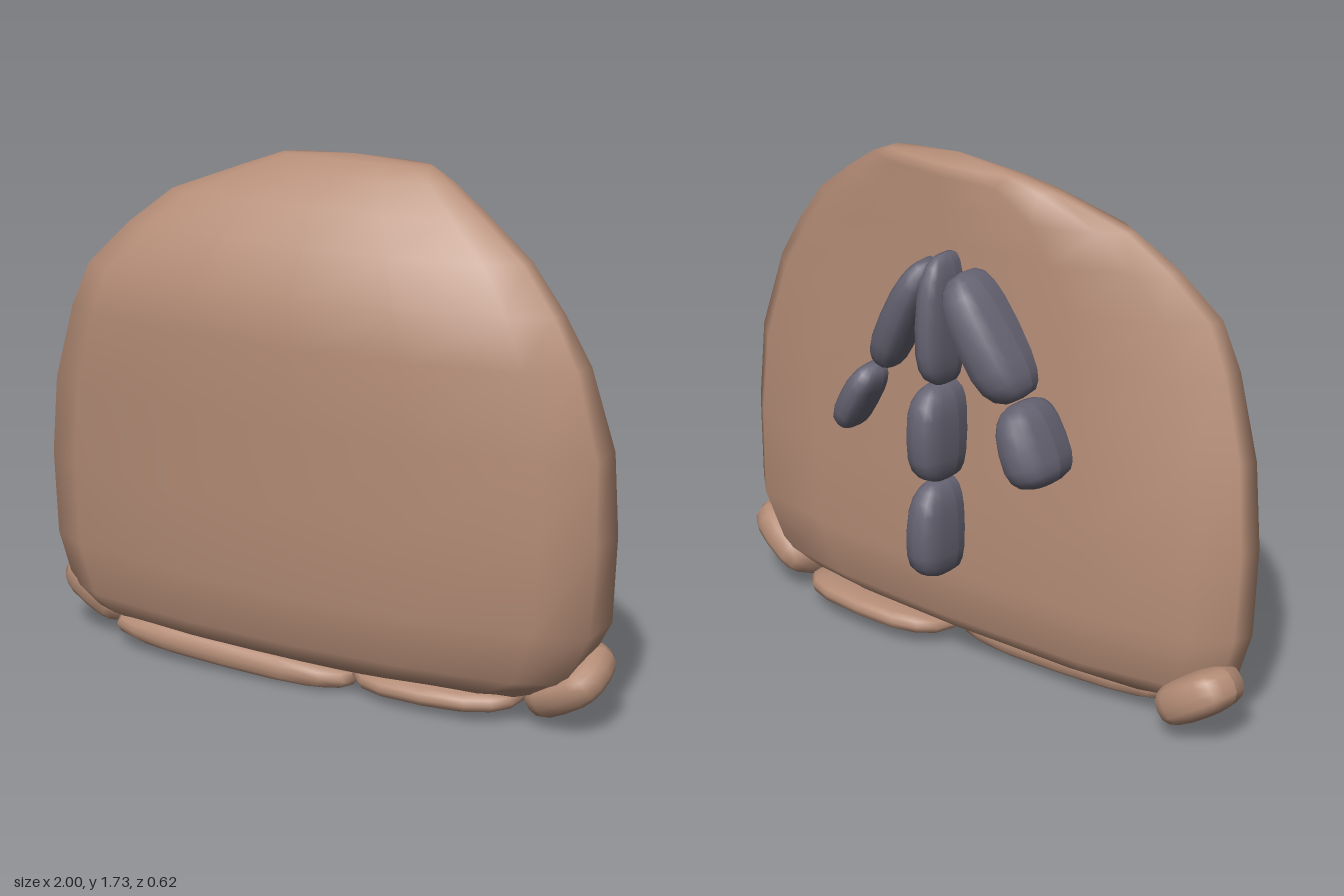
import * as THREE from 'three';

const clay = new THREE.MeshStandardMaterial({ color: 0xb48c76, roughness: 0.9 });
const slate = new THREE.MeshStandardMaterial({ color: 0x656372, roughness: 0.9 });

// Horizontal outline of the slab: across (-1..1), depth (0 back .. 1 front) low down and near the crown
const SECTION = [
  [-1, 0.58, 0.72], [-0.86, 0.76, 0.9], [-0.43, 0.93, 0.97], [0, 1, 1], [0.41, 0.98, 0.94],
  [0.83, 0.87, 0.77], [0.99, 0.7, 0.6], [1, 0.35, 0.44], [0.9, 0.14, 0.28], [0.6, 0.03, 0.1],
  [0.1, 0, 0], [-0.5, 0.06, 0.1], [-0.86, 0.23, 0.38], [-0.98, 0.42, 0.6],
];

// Slab levels: y, left x, right x, front z, back z, blend towards the crown outline
const LEVELS = [
  [0.08, -0.72, 0.68, 0.14, -0.02, 0],
  [0.12, -0.86, 0.77, 0.21, -0.08, 0],
  [0.18, -0.94, 0.89, 0.25, -0.13, 0],
  [0.36, -0.985, 0.98, 0.295, -0.15, 0],
  [0.65, -0.985, 0.995, 0.305, -0.14, 0.1],
  [0.92, -0.945, 0.985, 0.31, -0.13, 0.4],
  [1.18, -0.855, 0.91, 0.315, -0.125, 0.8],
  [1.33, -0.79, 0.82, 0.287, -0.12, 1],
  [1.47, -0.66, 0.70, 0.225, -0.115, 1],
  [1.58, -0.53, 0.55, 0.15, -0.11, 1],
  [1.67, -0.3, 0.41, 0.07, -0.105, 0.8],
  [1.71, -0.19, 0.32, 0.01, -0.1, 0.5],
];

function slabGeometry() {
  const pos = [], idx = [], n = SECTION.length;
  for (const [y, x0, x1, zf, zb, blend] of LEVELS) {
    for (const [u, low, high] of SECTION) {
      const depth = low + (high - low) * blend;
      pos.push((x0 + x1) / 2 + (u * (x1 - x0)) / 2, y, zb + depth * (zf - zb));
    }
  }
  for (let i = 0; i < LEVELS.length - 1; i++) {
    for (let j = 0; j < n; j++) {
      const k = (j + 1) % n, a = i * n, b = a + n;
      idx.push(a + j, a + k, b + k, a + j, b + k, b + j);
    }
  }
  // Close the bottom and the crown with fans
  const bottom = pos.length / 3, crown = bottom + 1, last = (LEVELS.length - 1) * n;
  pos.push(0, 0.07, 0.07, 0.07, 1.73, -0.02);
  for (let j = 0; j < n; j++) {
    const k = (j + 1) % n;
    idx.push(bottom, k, j, crown, last + j, last + k);
  }
  const g = new THREE.BufferGeometry();
  g.setAttribute('position', new THREE.Float32BufferAttribute(pos, 3));
  g.setIndex(idx);
  g.computeVertexNormals();
  return g;
}

// Pebble: a sphere squared off towards a rounded box; taper narrows its upper end
function stone(name, material, center, size, rotation = [0, 0, 0], taper = 0) {
  const g = new THREE.SphereGeometry(1, 16, 10);
  const p = g.attributes.position;
  const square = (v) => Math.sign(v) * Math.pow(Math.abs(v), 0.72);
  for (let i = 0; i < p.count; i++) {
    const y = square(p.getY(i)), w = 1 - taper * y;
    p.setXYZ(i, square(p.getX(i)) * w * size[0] / 2, y * size[1] / 2, square(p.getZ(i)) * w * size[2] / 2);
  }
  g.computeVertexNormals();
  const m = new THREE.Mesh(g, material);
  m.name = name;
  m.position.set(...center);
  m.rotation.set(...rotation);
  return m;
}

export function createModel() {
  const model = new THREE.Group();
  model.name = 'standingSlab';

  const slab = new THREE.Mesh(slabGeometry(), clay);
  slab.name = 'slab';
  model.add(slab);

  // Flat stones wedged under the slab
  const base = new THREE.Group();
  base.name = 'baseStones';
  base.add(
    stone('rightLongStone', clay, [-0.305, 0.065, 0.1], [0.91, 0.105, 0.2], [0, 0, -0.05]),
    stone('leftFlatStone', clay, [0.415, 0.072, 0.02], [0.6, 0.09, 0.35], [0.08, 0, 0.02]),
    stone('leftCornerStone', clay, [0.855, 0.155, 0.03], [0.31, 0.14, 0.26], [0.35, 0, 0.55]),
    stone('rightCornerStone', clay, [-0.87, 0.16, 0], [0.29, 0.15, 0.22], [0.1, 0, -0.6]),
  );
  model.add(base);

  // Upward arrow of dark stones on the back
  const arrow = new THREE.Group();
  arrow.name = 'arrowStones';
  arrow.add(
    stone('shaftTopStone', slate, [0.025, 1.235, -0.14], [0.1, 0.43, 0.26], [0, 0, 0], 0.08),
    stone('shaftMiddleStone', slate, [0.025, 0.865, -0.165], [0.14, 0.33, 0.28]),
    stone('shaftBottomStone', slate, [0.025, 0.535, -0.17], [0.14, 0.33, 0.28], [0, 0, 0], 0.08),
    stone('rightUpperStone', slate, [-0.155, 1.22, -0.14], [0.17, 0.43, 0.26], [-0.1, 0, -0.54], 0.1),
    stone('rightLowerStone', slate, [-0.345, 0.925, -0.17], [0.16, 0.27, 0.26], [0, 0, -0.4], 0.1),
    stone('leftUpperStone', slate, [0.185, 1.21, -0.13], [0.12, 0.44, 0.23], [-0.1, 0, 0.46], 0.1),
    stone('leftLowerStone', slate, [0.37, 0.885, -0.14], [0.1, 0.27, 0.21], [0, 0, 0.5]),
  );
  model.add(arrow);

  return model;
}
